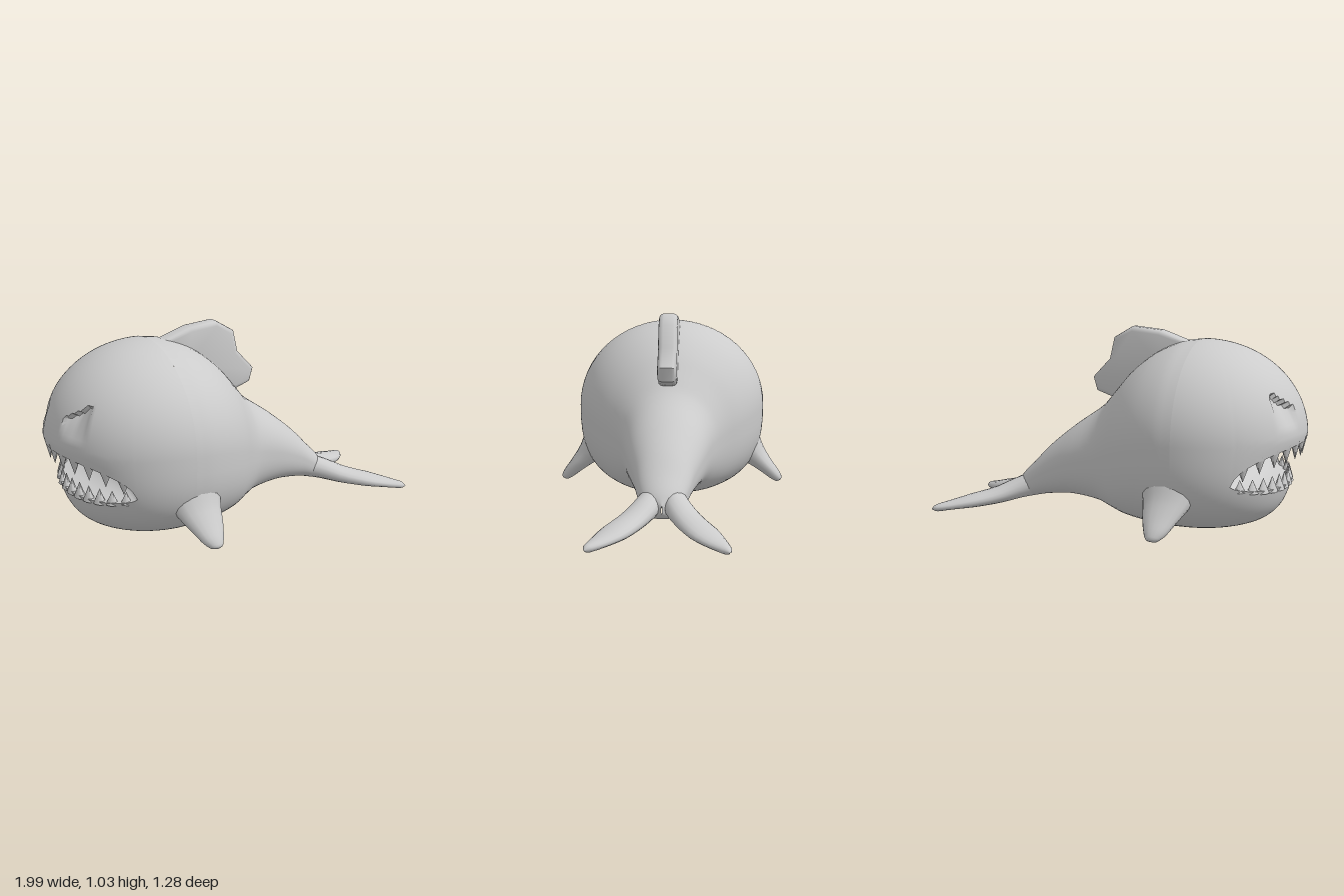
import * as THREE from 'three';
import { mergeVertices, toCreasedNormals } from 'three/addons/utils/BufferGeometryUtils.js';

const material = new THREE.MeshStandardMaterial({ color: 0xcccccc });
const { clamp, lerp } = THREE.MathUtils;
const V = (x, y, z) => new THREE.Vector3(x, y, z);

// Grid surface from a rule f(u, v) -> Vector3, with u and v in 0..1
function surface(f, nu, nv, crease) {
  const pos = [], idx = [];
  for (let j = 0; j <= nv; j++)
    for (let i = 0; i <= nu; i++) pos.push(...f(i / nu, j / nv).toArray());
  for (let j = 0; j < nv; j++)
    for (let i = 0; i < nu; i++) {
      const a = j * (nu + 1) + i, b = a + nu + 1;
      idx.push(a, b, a + 1, b, b + 1, a + 1);
    }
  let geo = new THREE.BufferGeometry();
  geo.setAttribute('position', new THREE.Float32BufferAttribute(pos, 3));
  geo.setIndex(idx);
  geo = mergeVertices(geo, 1e-5);
  if (crease) return toCreasedNormals(geo, crease);
  geo.computeVertexNormals();
  return geo;
}

function add(parent, name, geo) {
  const mesh = new THREE.Mesh(geo, material);
  mesh.name = name;
  parent.add(mesh);
  return mesh;
}

// Round cross-section with a fuller lower half: width ratio at height ratio s
const power = (s) => (s < 0 ? 2.8 : 2);
const widthAt = (s) => Math.pow(Math.max(0, 1 - Math.pow(Math.abs(s), power(s))), 1 / power(s));
const angleOf = (s) => Math.sign(s) * Math.asin(Math.pow(Math.min(1, Math.abs(s)), power(s) / 2));
const heightOf = (a) => Math.sign(a) * Math.pow(Math.abs(Math.sin(a)), 2 / power(a));

// Head skin: phi = 0 faces -x, with a flatter chin and two slanted eye hollows
const CX = -0.45, CY = 0.5, H = 0.48;
function skin(phi, s, scale = 1) {
  const y = CY + H * s, p = Math.abs(phi);
  const chin = 1 - 0.1 * Math.cos(phi) ** 2 * Math.sin(Math.PI * clamp(-s / 0.9, 0, 1));
  const brow = 0.7 + 0.25 * (p - 0.38), t = (y - 0.56) / (brow - 0.56);
  const side = Math.max(0, 1 - Math.abs(p - 0.38) / 0.17);
  const hollow = t > 0 && t < 1 ? 0.1 * t * Math.sqrt(side) : 0;
  const r = widthAt(s) * scale * (1 - hollow);
  return V(CX - 0.545 * r * chin * Math.cos(phi), y, 0.53 * r * Math.sin(phi));
}

// Mouth opening across the face
const MOUTH = 1.0;
const open = (phi) => Math.sqrt(Math.max(0, 1 - (phi / MOUTH) ** 2));
const upperLip = (phi) => (0.31 + 0.17 * open(phi) - CY) / H;
const lowerLip = (phi) => (0.31 - 0.05 * open(phi) - CY) / H;

function headPoint(u, v) {
  const phi = (u - 0.5) * Math.PI, up = upperLip(phi), low = lowerLip(phi);
  if (v <= 0.5) return skin(phi, heightOf(lerp(Math.PI / 2, angleOf(up), v / 0.5)));
  if (v >= 0.7) return skin(phi, heightOf(lerp(angleOf(low), -Math.PI / 2, (v - 0.7) / 0.3)));
  const t = (v - 0.5) / 0.2;
  return skin(phi, lerp(up, low, t), 1 - 0.5 * open(phi) * Math.sqrt(Math.sin(Math.PI * t)));
}

// Fin lofted from oval rings [x, y, z, half width, half thickness]
function fin(rings, widthAxis, side) {
  const path = new THREE.CatmullRomCurve3(rings.map(([x, y, z]) => V(x, y, z * side)));
  const size = new THREE.CatmullRomCurve3(rings.map((r) => V(r[3], r[4], 0)));
  const W = V(widthAxis[0], widthAxis[1], widthAxis[2] * side).normalize();
  return surface((u, v) => {
    const a = u * Math.PI * 2, s = size.getPoint(v);
    const N = W.clone().cross(path.getTangent(v)).normalize();
    return path.getPoint(v)
      .addScaledVector(W, Math.cos(a) * s.x)
      .addScaledVector(N, Math.sin(a) * s.y);
  }, 16, 16);
}

export function createModel() {
  const whale = new THREE.Group();
  whale.name = 'whale';

  add(whale, 'head', surface(headPoint, 90, 80, 0.8));

  // Rear body and tail stem: [x, top, bottom, half width]
  const stations = [
    [-0.45, 0.98, 0.02, 0.53], [-0.35, 0.965, 0.02, 0.52], [-0.22, 0.91, 0.03, 0.475],
    [-0.1, 0.82, 0.045, 0.4], [0, 0.71, 0.07, 0.31], [0.08, 0.62, 0.095, 0.255],
    [0.25, 0.5, 0.115, 0.205], [0.4, 0.38, 0.1, 0.155], [0.5, 0.28, 0.08, 0.125],
    [0.58, 0.2, 0.065, 0.085], [0.62, 0.14, 0.1, 0.002],
  ];
  const spine = new THREE.CatmullRomCurve3(stations.map((s) => V(s[0], s[1], s[2])));
  const girth = new THREE.CatmullRomCurve3(stations.map((s) => V(s[0], s[3], 0)));
  add(whale, 'rearBody', surface((u, v) => {
    const a = u * Math.PI * 2, c = Math.cos(a), s = heightOf(Math.asin(clamp(Math.sin(a), -1, 1)));
    const p = spine.getPoint(v), w = girth.getPoint(v).y;
    return V(p.x, (p.y + p.z) / 2 + s * (p.y - p.z) / 2, Math.sign(c) * widthAt(s) * w);
  }, 64, 40));

  // Teeth along both lips
  const teeth = new THREE.Group();
  teeth.name = 'teeth';
  whale.add(teeth);
  const rows = [['upperTooth', upperLip, 11, 0.1, -1], ['lowerTooth', lowerLip, 12, 0.085, 1]];
  for (const [name, lip, count, length, dir] of rows)
    for (let i = 0; i < count; i++) {
      const phi = ((i + 0.5) / count * 2 - 1) * MOUTH * 0.97;
      const size = 0.55 + 0.45 * open(phi);
      const tooth = add(teeth, name, new THREE.ConeGeometry(0.042, length, 8));
      tooth.position.copy(skin(phi, lip(phi), 0.965));
      tooth.position.y += dir * length * 0.3 * size;
      tooth.rotation.set(dir < 0 ? Math.PI : 0, dir < 0 ? -phi : phi, 0);
      tooth.scale.set(0.6 * size, size, size);
    }

  // Back fin
  const outline = [[-0.36, 0.95], [-0.22, 0.995], [-0.075, 1.01], [0.01, 0.96], [0.035, 0.85],
    [0.125, 0.755], [0.11, 0.705], [0.04, 0.68], [-0.08, 0.7], [-0.25, 0.82]];
  const shape = new THREE.Shape(outline.map(([x, y]) => new THREE.Vector2(x, y)).reverse());
  const backFin = new THREE.ExtrudeGeometry(shape, {
    depth: 0.05, bevelSize: 0.024, bevelThickness: 0.026, bevelSegments: 3,
  });
  backFin.translate(0, 0, -0.025);
  add(whale, 'backFin', toCreasedNormals(backFin, 0.9));

  // Paired side fins and tail flukes
  for (const side of [1, -1]) {
    const label = side > 0 ? 'left' : 'right';
    add(whale, label + 'SideFin', fin([
      [-0.42, 0.27, 0.42, 0.15, 0.11], [-0.415, 0.2, 0.49, 0.115, 0.065],
      [-0.405, 0.14, 0.55, 0.085, 0.045], [-0.4, 0.09, 0.6, 0.055, 0.033],
      [-0.395, 0.065, 0.625, 0.03, 0.02], [-0.395, 0.058, 0.63, 0.002, 0.002],
    ], [1, 0, 0], side));
    add(whale, label + 'Fluke', fin([
      [0.46, 0.16, 0.04, 0.06, 0.07], [0.58, 0.125, 0.075, 0.07, 0.058],
      [0.69, 0.085, 0.135, 0.075, 0.045], [0.81, 0.058, 0.205, 0.078, 0.036],
      [0.91, 0.038, 0.268, 0.055, 0.025], [0.98, 0.024, 0.318, 0.024, 0.018],
      [0.998, 0.02, 0.33, 0.002, 0.002],
    ], [-0.52, 0, 0.85], side));
  }
  return whale;
}
